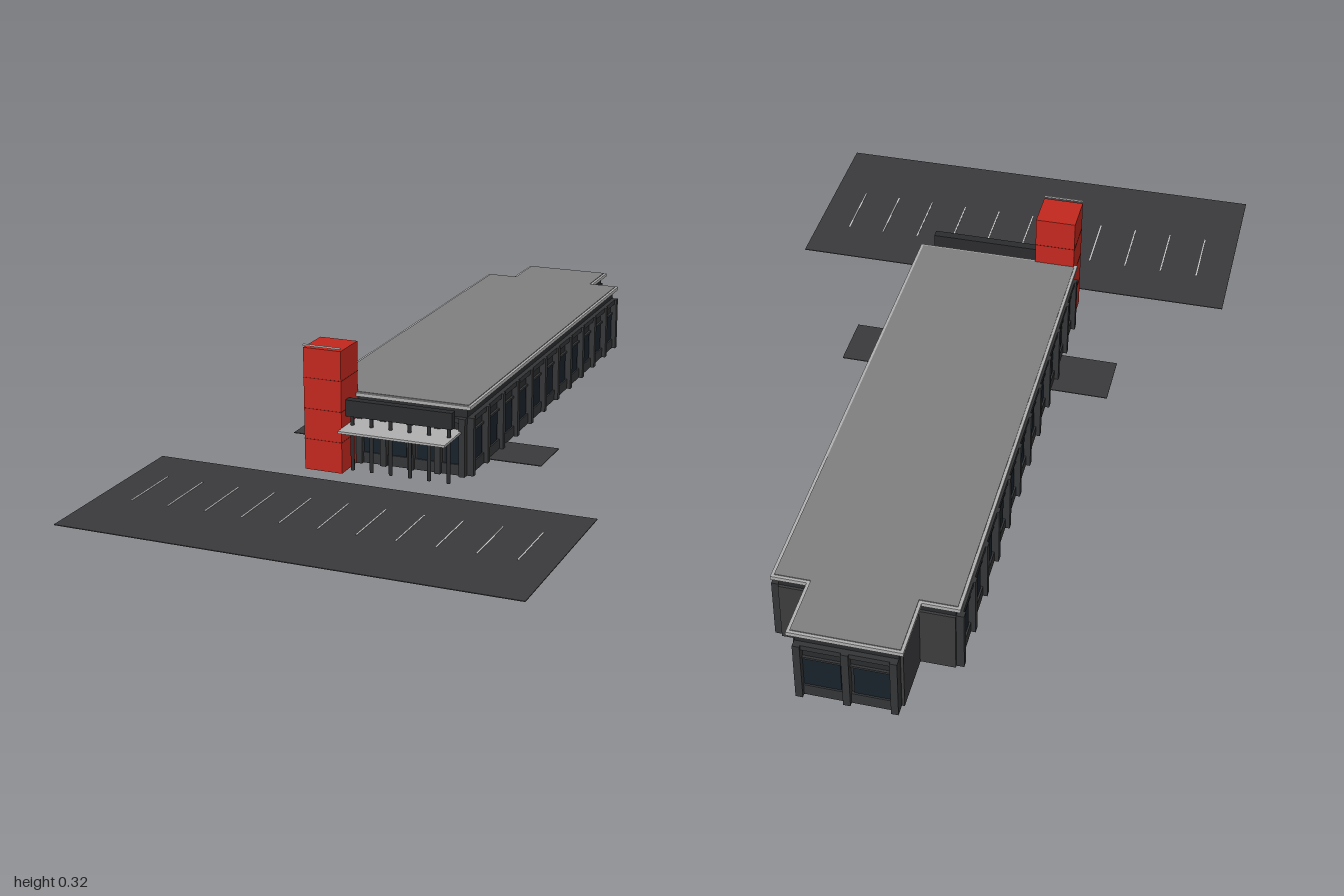
import * as THREE from 'three';

const mat = (color) => new THREE.MeshStandardMaterial({ color });
const M = {
  wall: mat(0x2b2c2e), frame: mat(0x343537), plain: mat(0x3c3c3e), glass: mat(0x18222a), roof: mat(0x808080),
  rim: mat(0xb0b0b0), red: mat(0xc4281e), seam: mat(0x7a1812), asphalt: mat(0x3a3a3c), white: mat(0xd8d8d8),
};

// Box given by its limits on each axis
function box(parent, name, material, [x0, x1], [y0, y1], [z0, z1]) {
  const mesh = new THREE.Mesh(new THREE.BoxGeometry(x1 - x0, y1 - y0, z1 - z0), material);
  mesh.position.set((x0 + x1) / 2, (y0 + y1) / 2, (z0 + z1) / 2);
  mesh.name = name;
  parent.add(mesh);
  return mesh;
}

// Stepped building outline, inset by d, extruded upwards from y0 to y1
function slab(parent, name, material, d, y0, y1) {
  const pts = [
    [-0.147 + d, 0.17 - d], [1.09 - d, 0.17 - d], [1.09 - d, 0.09 - d], [1.233 - d, 0.09 - d],
    [1.233 - d, -0.158 + d], [1.09 - d, -0.158 + d], [1.09 - d, -0.241 + d], [-0.147 + d, -0.241 + d],
  ];
  const shape = new THREE.Shape(pts.map(([x, z]) => new THREE.Vector2(x, -z)));
  const geo = new THREE.ExtrudeGeometry(shape, { depth: y1 - y0, bevelEnabled: false });
  geo.rotateX(-Math.PI / 2);
  const mesh = new THREE.Mesh(geo, material);
  mesh.position.y = y0;
  mesh.name = name;
  parent.add(mesh);
}

// Row of window bays facing local +z, running along local x from 0
function windowRow(parent, name, length, count) {
  const row = new THREE.Group();
  row.name = name;
  const w = length / count;
  for (let i = 0; i <= count; i++) {
    const x = THREE.MathUtils.clamp(i * w, 0.008, length - 0.008);
    box(row, 'pilaster', M.frame, [x - 0.008, x + 0.008], [0, 0.15], [0, 0.017]);
  }
  for (let i = 0; i < count; i++) {
    const a = i * w + 0.008, b = (i + 1) * w - 0.008;
    box(row, 'sill', M.frame, [a, b], [0, 0.028], [0, 0.007]);
    box(row, 'lintel', M.frame, [a, b], [0.137, 0.15], [0, 0.012]);
    box(row, 'windowPane', M.glass, [a + 0.006, b - 0.006], [0.028, 0.105], [0, 0.003]);
    box(row, 'transom', M.frame, [a, b], [0.105, 0.11], [0, 0.006]);
  }
  parent.add(row);
  return row;
}

export function createModel() {
  const model = new THREE.Group();
  model.name = 'schoolBuilding';
  const site = new THREE.Group();
  site.name = 'site';
  site.rotation.y = 0.714;
  model.add(site);

  // Main hall
  const hall = new THREE.Group();
  hall.name = 'hall';
  site.add(hall);
  slab(hall, 'walls', M.wall, 0.013, 0, 0.172);
  slab(hall, 'roofEdge', M.rim, 0, 0.174, 0.183);
  slab(hall, 'roofCover', M.roof, 0.007, 0.172, 0.185);

  // Window rows on both long sides and the far end
  windowRow(hall, 'leftWindows', 1.211, 11).position.set(-0.134, 0, 0.157);
  const back = windowRow(hall, 'rightWindows', 1.211, 11);
  back.position.set(1.077, 0, -0.228);
  back.rotation.y = Math.PI;
  const end = windowRow(hall, 'endWindows', 0.222, 2);
  end.position.set(1.22, 0, 0.077);
  end.rotation.y = Math.PI / 2;
  const entrance = windowRow(hall, 'entranceGlazing', 0.29, 4);
  entrance.position.set(-0.134, 0, -0.133);
  entrance.rotation.y = -Math.PI / 2;

  // Plain panels in the stepped corners
  for (const [side, z0, z1] of [['left', 0.085, 0.157], ['right', -0.228, -0.15]])
    box(hall, side + 'StepPanel', M.plain, [1.07, 1.083], [0, 0.15], [z0, z1]);
  box(hall, 'leftWingPanel', M.plain, [1.085, 1.21], [0, 0.15], [0.07, 0.083]);
  box(hall, 'rightWingPanel', M.plain, [1.085, 1.21], [0, 0.15], [-0.151, -0.138]);

  // Entrance tower with panel joints
  const tower = new THREE.Group();
  tower.name = 'tower';
  site.add(tower);
  box(tower, 'towerBody', M.red, [-0.237, -0.137], [0, 0.314], [-0.233, -0.133]);
  for (let i = 1; i < 4; i++)
    box(tower, 'towerJoint', M.seam, [-0.2376, -0.1364], [i * 0.079, i * 0.079 + 0.0015], [-0.2336, -0.1324]);
  box(tower, 'towerTopStrip', M.white, [-0.238, -0.235], [0.319, 0.323], [-0.233, -0.133]);

  // Entrance canopy, fascia beam and columns
  const porch = new THREE.Group();
  porch.name = 'porch';
  site.add(porch);
  box(porch, 'canopy', M.rim, [-0.26, -0.137], [0.112, 0.118], [-0.133, 0.147]);
  box(porch, 'fasciaBeam', M.wall, [-0.212, -0.19], [0.142, 0.184], [-0.133, 0.147]);
  for (let i = 0; i < 6; i++) {
    const post = new THREE.Mesh(new THREE.CylinderGeometry(0.005, 0.005, 0.142, 10), M.wall);
    post.position.set(-0.201, 0.071, -0.12 + i * 0.051);
    post.name = 'column';
    porch.add(post);
  }

  // Side paths and car park with bay lines
  box(site, 'leftPath', M.asphalt, [-0.004, 0.137], [0, 0.002], [0.15, 0.305]);
  box(site, 'rightPath', M.asphalt, [-0.004, 0.137], [0, 0.002], [-0.377, -0.22]);
  box(site, 'carPark', M.asphalt, [-0.797, -0.294], [0, 0.002], [-0.605, 0.542]);
  for (let i = 0; i < 11; i++) {
    const z = -0.517 + i * 0.0971;
    box(site, 'bayLine', M.white, [-0.595, -0.424], [0.001, 0.003], [z - 0.0015, z + 0.0015]);
  }
  return model;
}
